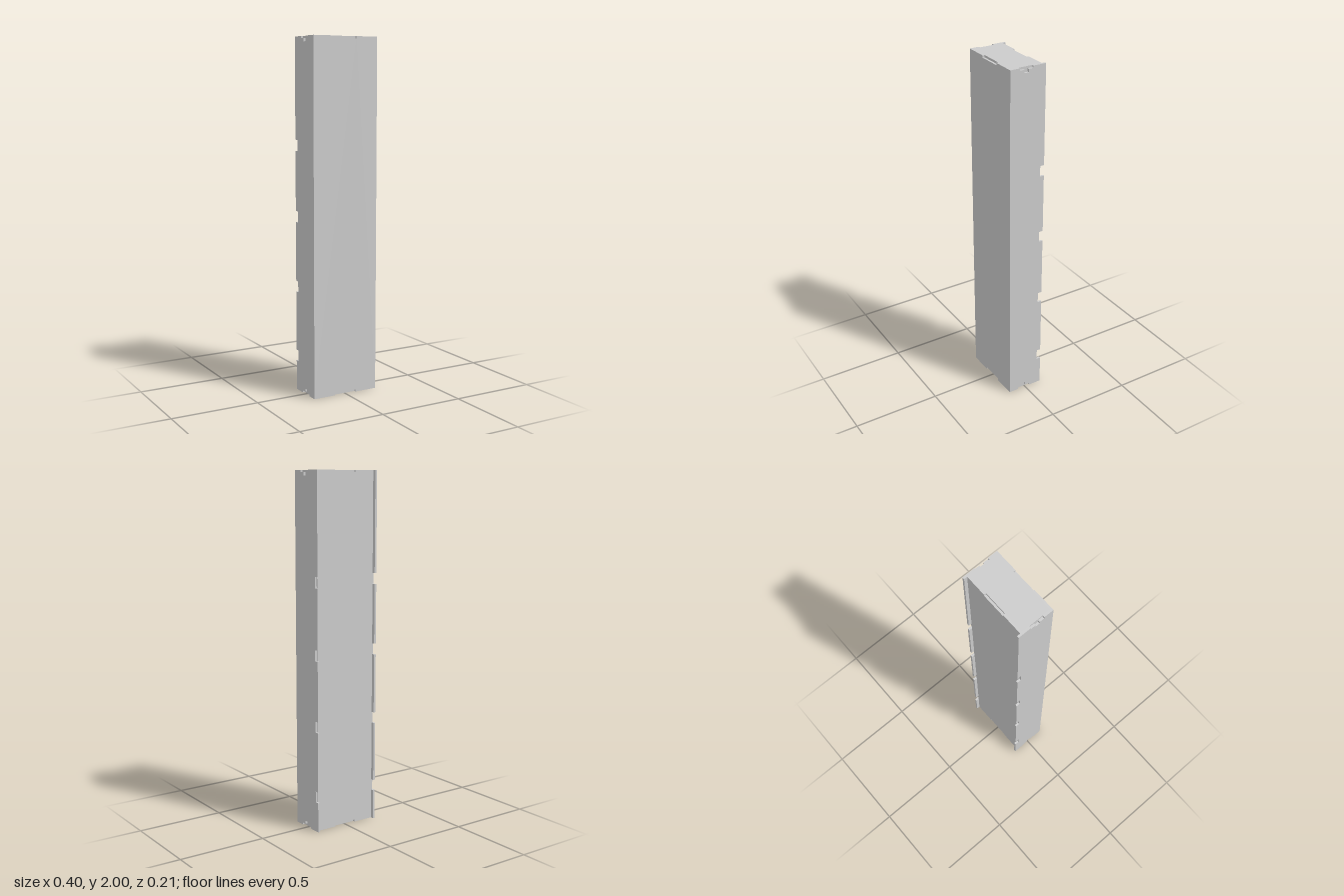
import * as THREE from 'three';

const W = 0.2, H = 2, FRONT = 0.106, REAR = -0.106, T = 0.012;
const BACK = -0.087; // outer face of the recessed back panel
const MID = (FRONT + BACK) / 2; // depth centre of the end slots

const material = new THREE.MeshStandardMaterial({ color: 0xcccccc });

// Flat panel of thickness T from an outline
function panel(name, points) {
  const shape = new THREE.Shape(points.map(([x, y]) => new THREE.Vector2(x, y)));
  const geometry = new THREE.ExtrudeGeometry(shape, { depth: T, bevelEnabled: false });
  const mesh = new THREE.Mesh(geometry, material);
  mesh.name = name;
  return mesh;
}

// Panel with a shallow slot in the middle of its top and bottom edges
function slottedPanel(name, halfWidth, z) {
  const s = 0.067;
  const bottom = [[-halfWidth, 0], [-s, 0], [-s, T], [s, T], [s, 0], [halfWidth, 0]];
  const top = bottom.map(([x, y]) => [x, H - y]).reverse();
  const mesh = panel(name, [...bottom, ...top]);
  mesh.position.z = z;
  return mesh;
}

// Side wall: stepped slots at both ends, four notches along the rear lip
function sideWall(name, x) {
  const a = 0.04, b = 0.0125, dip = 0.03, notchFloor = -0.082;
  const slot = [[-a, 0], [-a, T], [-b, T], [-b, dip], [b, dip], [b, T], [a, T], [a, 0]]
    .map(([z, y]) => [MID + z, y]);
  const points = [[REAR, 0], ...slot, [FRONT - T, 0], [FRONT - T, H]];
  points.push(...slot.map(([z, y]) => [z, H - y]).reverse(), [REAR, H]);
  for (const y of [1.405, 1.005, 0.605, 0.202]) {
    points.push([REAR, y + 0.031], [notchFloor, y + 0.031], [notchFloor, y - 0.031], [REAR, y - 0.031]);
  }
  const mesh = panel(name, points);
  mesh.geometry.rotateY(-Math.PI / 2); // outline runs along z, thickness towards -x
  mesh.position.x = x;
  return mesh;
}

export function createModel() {
  const group = new THREE.Group();
  group.name = 'tallCase';

  // Inner body, whose ends close the top and bottom
  const depth = FRONT - BACK - 2 * T;
  const body = new THREE.Mesh(new THREE.BoxGeometry(2 * (W - T), H, depth), material);
  body.name = 'body';
  body.position.set(0, H / 2, MID);
  group.add(body);

  // Front covers the full width, back sits between the side walls
  group.add(slottedPanel('frontPanel', W, FRONT - T));
  group.add(slottedPanel('backPanel', W - T, BACK));

  group.add(sideWall('leftSide', W));
  group.add(sideWall('rightSide', -W + T));
  return group;
}
